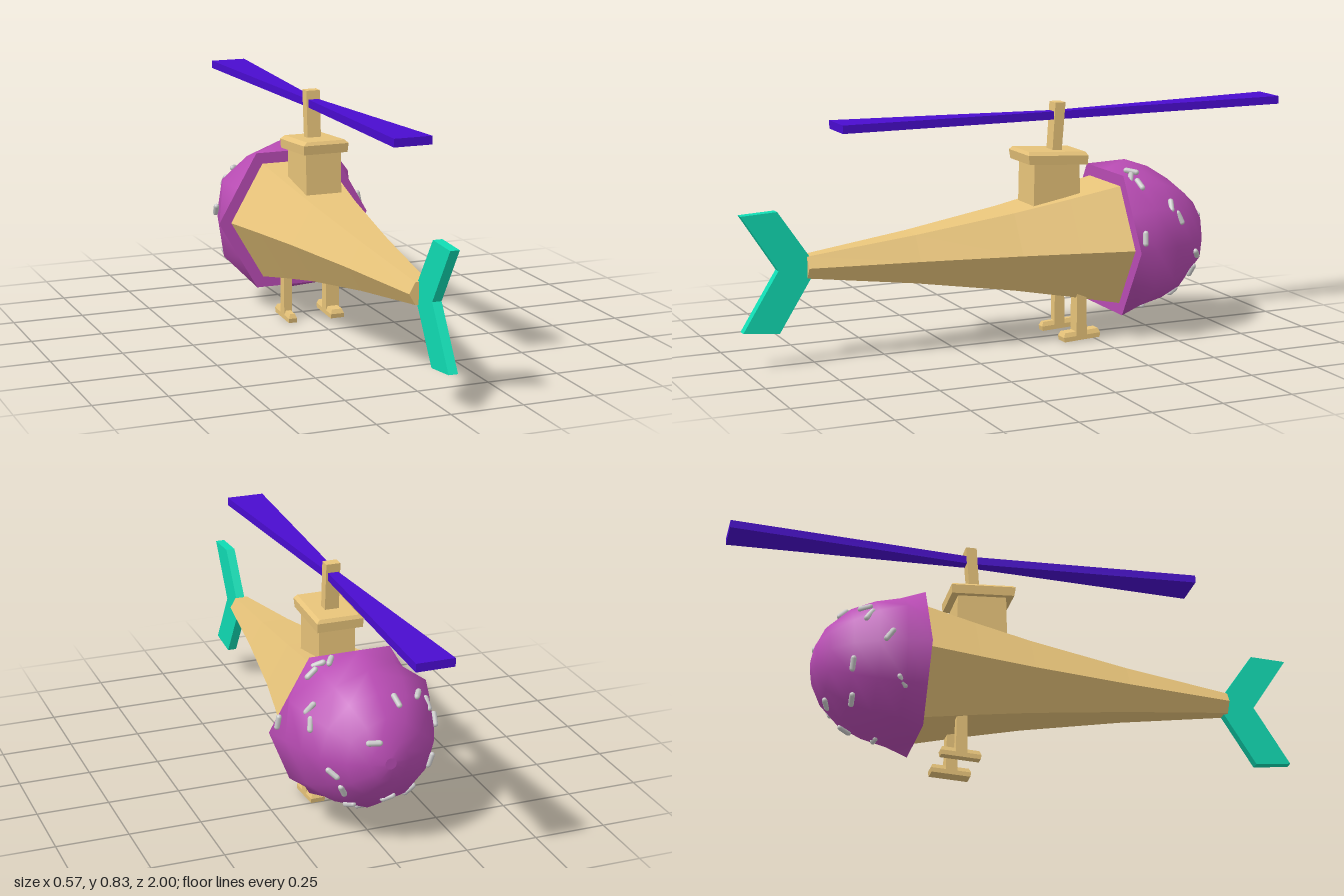
import * as THREE from 'three';

const TAN = 0xe8c47a, PURPLE = 0xb94cb4, BLUE = 0x4a0ccf, TEAL = 0x10dcb4, GREY = 0xcccccc;
const CY = 0.333; // height of the body axis

const material = (color, flatShading = true) => new THREE.MeshStandardMaterial({ color, flatShading });

// Skins a row of equal-sized rings and closes both ends with flat caps
function loft(rings) {
  const n = rings[0].length;
  const pos = rings.flat(2);
  const index = [];
  for (let r = 0; r < rings.length - 1; r++) {
    for (let i = 0; i < n; i++) {
      const j = (i + 1) % n, a = r * n, b = a + n;
      index.push(a + i, a + j, b + j, a + i, b + j, b + i);
    }
  }
  [rings[0], rings[rings.length - 1]].forEach((ring, end) => {
    const base = pos.length / 3;
    pos.push(...ring.flat());
    for (let i = 1; i < n - 1; i++) {
      if (end) index.push(base, base + i, base + i + 1);
      else index.push(base, base + i + 1, base + i);
    }
  });
  const g = new THREE.BufferGeometry();
  g.setAttribute('position', new THREE.Float32BufferAttribute(pos, 3));
  g.setIndex(index);
  g.computeVertexNormals();
  return g;
}

// Ring around the body axis; radius is a function of the corner number
const polyRing = (n, z, radius) => Array.from({ length: n }, (_, i) => {
  const a = (i / n) * Math.PI * 2, r = radius(i);
  return [r * Math.cos(a), CY + r * Math.sin(a), z];
});

// Horizontal rectangle, optionally tilted along z, for stacking upwards
const rectRing = (x0, x1, z0, z1, y, tilt = 0) =>
  [[x0, z1], [x1, z1], [x1, z0], [x0, z0]].map(([x, z]) => [x, y + tilt * (z - (z0 + z1) / 2), z]);

export function createModel() {
  const model = new THREE.Group();
  const add = (name, geometry, mat, parent = model) => {
    const mesh = new THREE.Mesh(geometry, mat);
    mesh.name = name;
    parent.add(mesh);
    return mesh;
  };
  const tan = material(TAN);

  // Six-sided tapering body, slightly hollow along its length
  const body = [[-0.335, 0.24], [-0.15, 0.198], [0.05, 0.156], [0.4, 0.096], [0.775, 0.043]];
  add('coneBody', loft(body.map(([z, r]) => polyRing(6, z, () => r))), tan);

  // Lumpy dome: hexagonal rim, widest ring turned by half a side
  const dome = [
    // z, radius at even corners, radius at odd corners
    [-0.695, 0.02, 0.02], [-0.685, 0.07, 0.065], [-0.65, 0.135, 0.14], [-0.58, 0.2, 0.198],
    [-0.5, 0.235, 0.248], [-0.41, 0.256, 0.279], [-0.333, 0.285, 0.247],
  ];
  add('scoop', loft(dome.map(([z, even, odd]) => polyRing(12, z, i => (i % 2 ? odd : even)))), material(PURPLE, false));

  // Sprinkles lying on the dome
  const domeRadius = z => {
    const k = Math.max(1, dome.findIndex(d => d[0] >= z));
    const [a, b] = [dome[k - 1], dome[k]];
    const mid = d => (d[1] + d[2]) / 2;
    return THREE.MathUtils.lerp(mid(a), mid(b), (z - a[0]) / (b[0] - a[0]));
  };
  const sprinkles = new THREE.Group();
  sprinkles.name = 'sprinkles';
  model.add(sprinkles);
  const grey = material(GREY, false);
  const sprinkleGeo = new THREE.CapsuleGeometry(0.01, 0.035, 3, 8);
  const spots = [
    // angle in degrees around the axis, z, turn on the surface
    [62, -0.37, 0.6], [54, -0.39, 1.1], [70, -0.39, 2.2], [10, -0.36, 0.1], [25, -0.52, 0.9],
    [-15, -0.61, 0.5], [-40, -0.61, 2.1], [55, -0.675, 0.3], [-88, -0.47, 1.5], [35, -0.49, 0.4],
    [108, -0.6, 0.8], [135, -0.54, 0.5], [150, -0.53, 1.9], [210, -0.42, 1.2], [200, -0.58, 0.3],
    [175, -0.47, 2.4], [235, -0.57, 1], [295, -0.56, 0.2], [265, -0.64, 2],
  ];
  for (const [deg, z, turn] of spots) {
    const a = THREE.MathUtils.degToRad(deg), r = domeRadius(z);
    const slope = (domeRadius(z + 0.01) - domeRadius(z - 0.01)) / 0.02;
    const normal = new THREE.Vector3(Math.cos(a), Math.sin(a), -slope).normalize();
    const s = add('sprinkle', sprinkleGeo, grey, sprinkles);
    s.position.set(r * Math.cos(a), CY + r * Math.sin(a), z);
    s.quaternion.setFromUnitVectors(new THREE.Vector3(0, 0, 1), normal);
    s.rotateZ(turn);
  }

  // Rotor pylon, tilted platform and mast
  add('pylon', loft([
    rectRing(-0.07, 0.06, -0.21, -0.03, 0.42),
    rectRing(-0.07, 0.06, -0.205, -0.035, 0.63, 0.06),
  ]), tan);
  add('platform', loft([
    rectRing(-0.088, 0.074, -0.23, -0.01, 0.623, 0.06),
    rectRing(-0.09, 0.076, -0.232, -0.005, 0.655, 0.06),
    rectRing(-0.075, 0.065, -0.225, -0.012, 0.667, 0.06),
  ]), tan);
  add('mast', loft([
    rectRing(-0.03, 0.02, -0.155, -0.12, 0.65),
    rectRing(-0.03, 0.02, -0.17, -0.132, 0.83),
  ]), tan);

  // Two-bladed rotor, narrow at the hub and wide at the tips
  const blade = [[-1, -0.075, 0.055, 0.795], [-0.15, -0.022, 0.012, 0.785], [0.665, -0.05, 0.083, 0.795]];
  add('rotorBlades', loft(blade.map(([z, x0, x1, y]) => [
    [x0, y - 0.014, z], [x1, y - 0.014, z], [x1, y + 0.014, z], [x0, y + 0.014, z],
  ])), material(BLUE));

  // Landing legs with feet
  for (const [side, x0, x1] of [['right', -0.1, -0.07], ['left', 0.06, 0.11]]) {
    add(side + 'Leg', loft([
      rectRing(x0, x1, -0.213, -0.173, 0.02),
      rectRing(x0, x1, -0.21, -0.175, 0.19),
    ]), tan);
    add(side + 'Foot', loft([
      rectRing(x0, x1, -0.262, -0.128, 0.006, -0.05),
      rectRing(x0, x1, -0.265, -0.125, 0.022, -0.05),
      rectRing(x0 + 0.006, x1 - 0.006, -0.258, -0.132, 0.037, -0.05),
    ]), tan);
  }

  // Swept tail fin, outlined in z and y
  const fin = new THREE.Shape([
    [0.76, 0.3], [0.875, 0.117], [1, 0.13], [0.875, 0.33], [1, 0.522], [0.875, 0.528], [0.76, 0.36],
  ].map(p => new THREE.Vector2(...p)));
  const finGeo = new THREE.ExtrudeGeometry(fin, { depth: 0.032, bevelEnabled: false });
  finGeo.rotateY(-Math.PI / 2).translate(0.022, 0, 0);
  add('tailFin', finGeo, material(TEAL));

  return model;
}
